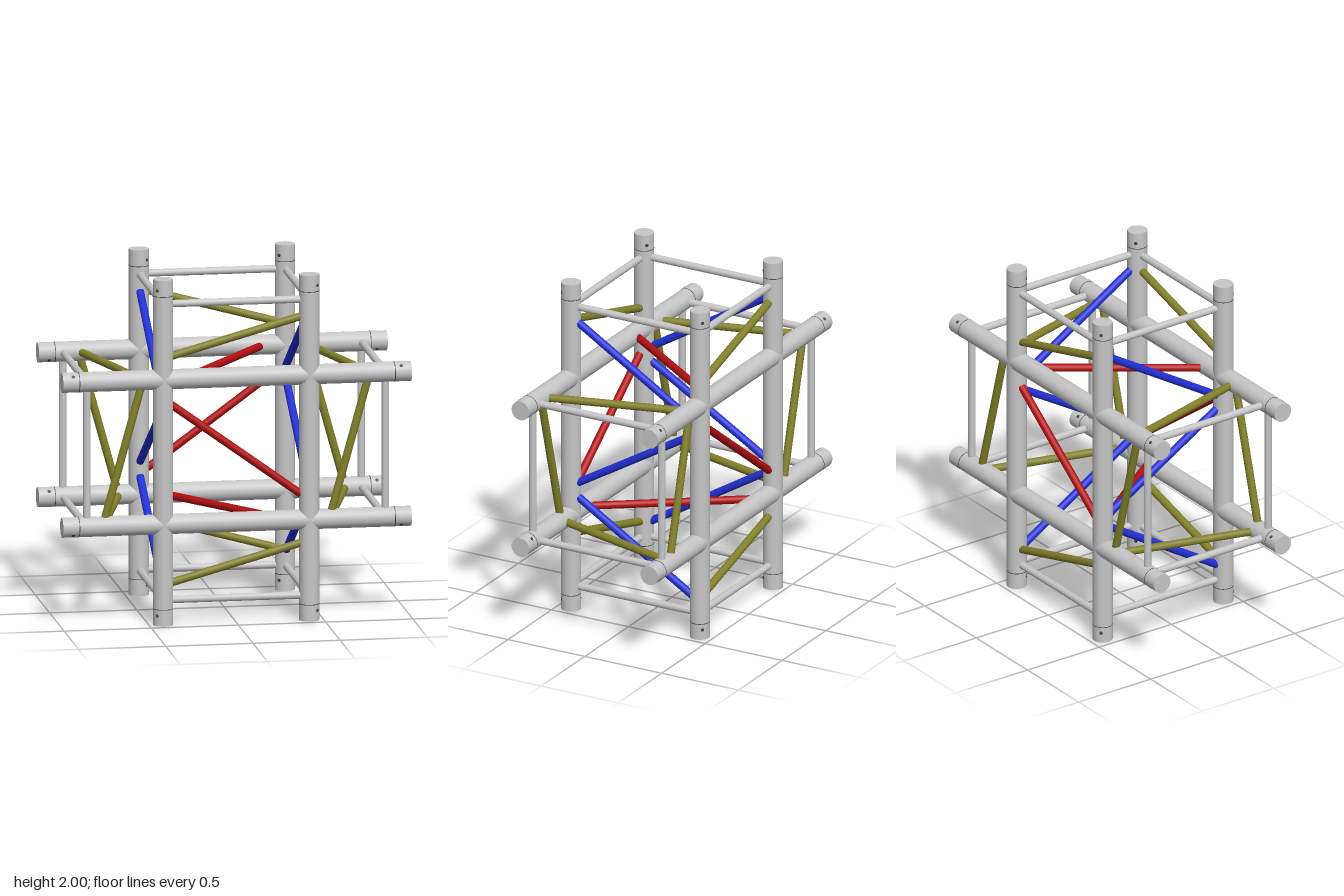
import * as THREE from 'three';

const OFF = 0.419;      // distance of the main tube axes from the centre planes
const TUBE_R = 0.057;
const STRUT_R = 0.021;
const BRACE_R = 0.0225;
const REACH = 0.37;     // half span of the struts between two main tubes
const MID = 1;          // height of the centre

export function createModel() {
  const model = new THREE.Group();
  model.name = 'trussJunction';

  const mat = (name, color) => {
    const m = new THREE.MeshStandardMaterial({ color });
    m.name = name;
    return m;
  };
  const silver = mat('silver', 0xc6c6c6);
  const dark = mat('darkGrey', 0x454545);
  const olive = mat('olive', 0x82802a);
  const red = mat('red', 0xb30f12);
  const blue = mat('blue', 0x2230d6);

  // Round bar between two points, given relative to the centre of the model
  const up = new THREE.Vector3(0, 1, 0);
  function bar(name, a, b, radius, material, sides = 20) {
    const p = new THREE.Vector3(...a), q = new THREE.Vector3(...b);
    const dir = q.clone().sub(p);
    const mesh = new THREE.Mesh(
      new THREE.CylinderGeometry(radius, radius, dir.length(), sides), material);
    mesh.position.copy(p).add(q).multiplyScalar(0.5);
    mesh.position.y += MID;
    mesh.quaternion.setFromUnitVectors(up, dir.normalize());
    mesh.name = name;
    model.add(mesh);
  }

  // Main tube along y (upright) or x (crossways), with end seams and pin holes
  function mainTube(name, at) {
    bar(name, at(-1, 0, 0), at(1, 0, 0), TUBE_R, silver, 40);
    for (const s of [-1, 1]) {
      bar(name + 'Seam', at(s * 0.903, 0, 0), at(s * 0.907, 0, 0), TUBE_R + 0.0004, dark, 40);
      const d = (TUBE_R + 0.0006) * Math.SQRT1_2;
      bar(name + 'PinHole', at(s * 0.94, -d, -d), at(s * 0.94, d, d), 0.01, dark, 16);
    }
  }
  for (const u of [-1, 1]) {
    for (const v of [-1, 1]) {
      mainTube('upright', (t, i, j) => [u * (OFF + i), t, v * (OFF + j)]);
      mainTube('crossTube', (t, i, j) => [t, u * (OFF + i), v * (OFF + j)]);
    }
  }

  // Thin square end frames on the four arms
  for (const end of [-1, 1]) {
    for (const s of [-1, 1]) {
      const y = end * 0.856, x = end * 0.856, o = s * OFF;
      bar('uprightEndStrut', [-REACH, y, o], [REACH, y, o], STRUT_R, silver);
      bar('uprightEndStrut', [o, y, -REACH], [o, y, REACH], STRUT_R, silver);
      bar('crossEndStrut', [x, -REACH, o], [x, REACH, o], STRUT_R, silver);
      bar('crossEndStrut', [x, o, -REACH], [x, o, REACH], STRUT_R, silver);
    }
  }

  // Diagonal braces: one per panel, the opposite panel leans the other way
  for (const s of [-1, 1]) {
    const o = s * OFF;

    // Centre bay
    bar('centreBrace', [-REACH, s * 0.27, o], [REACH, -s * 0.27, o], BRACE_R, red);
    bar('centreBrace', [-0.265, o, s * REACH], [0.265, o, -s * REACH], BRACE_R, red);
    bar('sideBrace', [o, -s * 0.22, REACH], [o, s * 0.22, -REACH], BRACE_R, blue);

    for (const end of [-1, 1]) {
      // Upper and lower bays
      const yo = end * 0.655, ys = end * 0.535;
      bar('armBrace', [-REACH, yo - s * 0.102, o], [REACH, yo + s * 0.102, o], BRACE_R, olive);
      bar('sideBrace', [o, ys + s * 0.225, REACH], [o, ys - s * 0.225, -REACH], BRACE_R, blue);

      // Left and right bays
      const xo = end * 0.65;
      bar('armBrace', [xo - s * 0.102, -REACH, o], [xo + s * 0.102, REACH, o], BRACE_R, olive);
      bar('armBrace', [xo - s * 0.102, o, -REACH], [xo + s * 0.102, o, REACH], BRACE_R, olive);
    }
  }
  return model;
}
